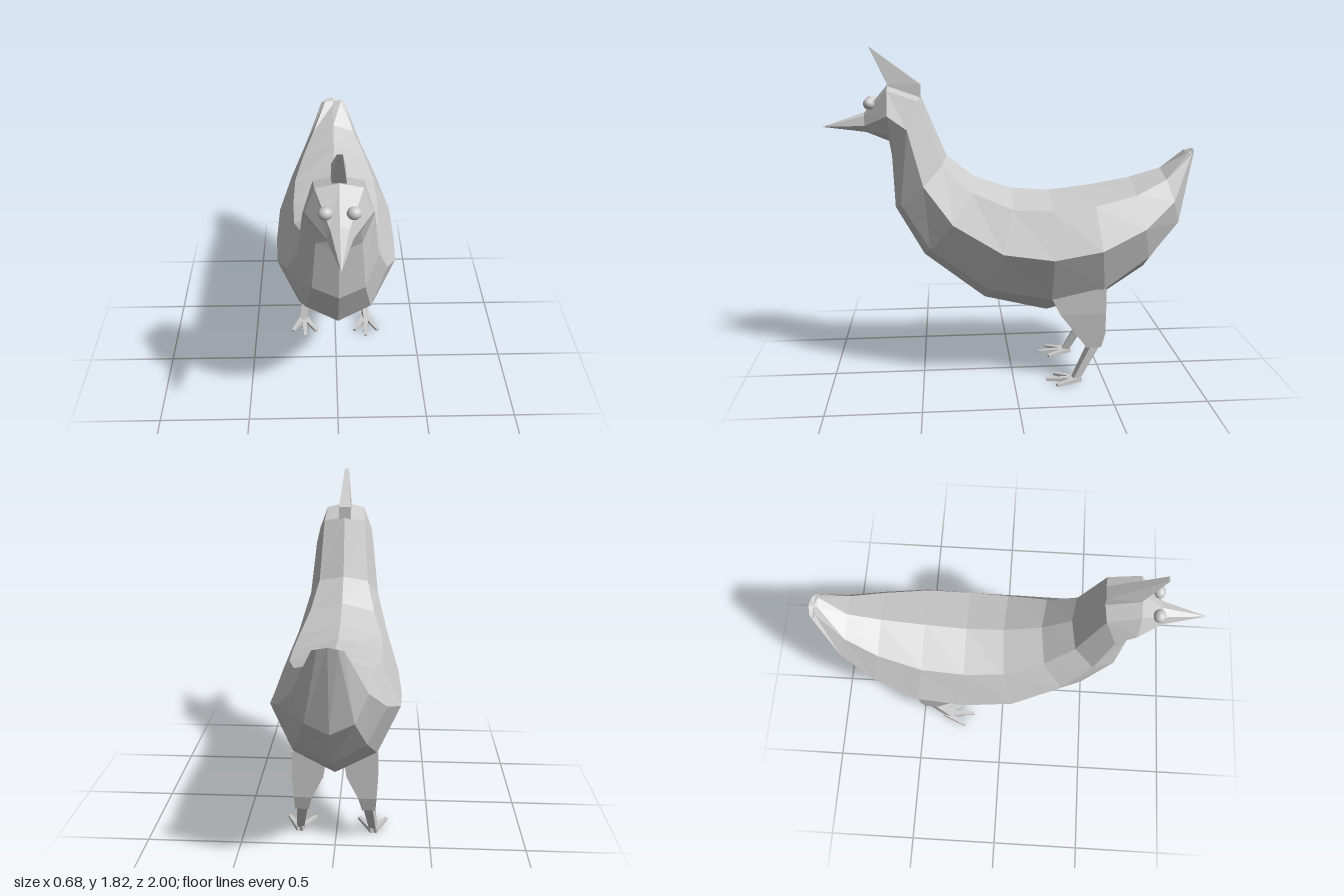
import * as THREE from 'three';

const grey = new THREE.MeshStandardMaterial({ color: 0xcccccc, flatShading: true });
const smoothGrey = new THREE.MeshStandardMaterial({ color: 0xcccccc });

// Skins a series of closed rings of [x, y, z] points and caps both ends.
// Each ring runs clockwise when seen from the first ring's outer side.
function loft(rings) {
  const pos = [];
  const tri = (a, b, c) => pos.push(...a, ...b, ...c);
  const n = rings[0].length;
  for (let i = 0; i < rings.length - 1; i++) {
    for (let j = 0; j < n; j++) {
      const k = (j + 1) % n;
      const a = rings[i][j], b = rings[i][k], c = rings[i + 1][k], d = rings[i + 1][j];
      tri(a, b, c);
      tri(a, c, d);
    }
  }
  const centre = ring => [0, 1, 2].map(k => ring.reduce((s, p) => s + p[k], 0) / n);
  const first = rings[0], last = rings[rings.length - 1];
  const c0 = centre(first), c1 = centre(last);
  for (let j = 0; j < n; j++) {
    const k = (j + 1) % n;
    tri(c0, first[k], first[j]);
    tri(c1, last[j], last[k]);
  }
  const g = new THREE.BufferGeometry();
  g.setAttribute('position', new THREE.Float32BufferAttribute(pos, 3));
  g.computeVertexNormals();
  return g;
}

function add(parent, name, geometry, material = grey) {
  const mesh = new THREE.Mesh(geometry, material);
  mesh.name = name;
  parent.add(mesh);
  return mesh;
}

// Eight-sided slice of the bird, leaning from zTop at the ridge to zLow at the keel.
// The heights are those of ridge, shoulder, flank, lower flank and keel.
const WIDTH = [0, 0.7, 1, 0.65, 0];
const LEAN = [0, 0.08, 0.44, 0.87, 1];
function slice(halfWidth, zTop, zLow, ...heights) {
  const half = heights.map((y, i) => [halfWidth * WIDTH[i], y, zTop + (zLow - zTop) * LEAN[i]]);
  return [...half, ...half.slice(1, -1).reverse().map(([x, y, z]) => [-x, y, z])];
}

// Horizontal rectangle; the inner front corner may sit lower
const rect = (x0, x1, z0, z1, y, yInner = y) =>
  [[x0, y, z0], [x1, y, z0], [x1, y, z1], [x0, yInner, z1]];

// Tapered four-sided bar between two points
function bar(from, to, r0, r1, flatten = 1) {
  const a = new THREE.Vector3(...from), b = new THREE.Vector3(...to);
  const g = new THREE.CylinderGeometry(r1, r0, a.distanceTo(b), 4);
  g.rotateY(Math.PI / 4);
  g.scale(1, 1, flatten);
  g.rotateX(Math.PI / 2);
  const frame = new THREE.Object3D();
  frame.position.copy(a).lerp(b, 0.5);
  frame.lookAt(b);
  frame.updateMatrix();
  return g.applyMatrix4(frame.matrix);
}

function makeLeg() {
  const leg = new THREE.Group();
  add(leg, 'thigh', loft([
    rect(0.04, 0.22, -0.5, -0.18, 0.54, 0.5),
    rect(0.06, 0.222, -0.5, -0.25, 0.4),
    rect(0.12, 0.215, -0.5, -0.34, 0.28),
    rect(0.14, 0.21, -0.48, -0.4, 0.2),
  ]));
  add(leg, 'shank', bar([0.175, 0.22, -0.45], [0.2, 0.015, -0.34], 0.036, 0.026));
  const foot = new THREE.Group();
  foot.name = 'foot';
  leg.add(foot);
  for (const [x, z] of [[0.12, -0.23], [0.19, -0.18], [0.27, -0.23]]) {
    add(foot, 'toe', bar([0.2, 0.013, -0.365], [x, 0.01, z], 0.026, 0.013, 0.7));
  }
  return leg;
}

export function createModel() {
  const model = new THREE.Group();
  model.name = 'hen';

  // Beak, head, neck, body and tail as one skin, front to back
  add(model, 'body', loft([
    slice(0, 1, 1, 1.41, 1.41, 1.41, 1.41, 1.41),
    slice(0.06, 0.775, 0.77, 1.485, 1.47, 1.42, 1.39, 1.38),
    slice(0.155, 0.65, 0.65, 1.63, 1.605, 1.48, 1.375, 1.33),
    slice(0.168, 0.48, 0.64, 1.57, 1.55, 1.41, 1.29, 1.25),
    slice(0.2, 0.35, 0.63, 1.25, 1.22, 1.12, 1.01, 0.97),
    slice(0.26, 0.2, 0.48, 1.13, 1.08, 0.925, 0.77, 0.7),
    slice(0.325, 0, 0.15, 1.065, 0.995, 0.78, 0.55, 0.44),
    slice(0.34, -0.2, -0.2, 1.05, 0.985, 0.745, 0.49, 0.355),
    slice(0.33, -0.42, -0.5, 1.075, 1.005, 0.785, 0.54, 0.43),
    slice(0.26, -0.65, -0.75, 1.115, 1.05, 0.88, 0.7, 0.6),
    slice(0.175, -0.82, -0.92, 1.165, 1.12, 1.01, 0.88, 0.83),
    slice(0.07, -0.96, -1, 1.24, 1.255, 1.25, 1.26, 1.27),
  ]));

  // Wedge-shaped comb on top of the head, rising to a thin tip
  add(model, 'comb', loft([
    rect(-0.012, 0.012, 0.735, 0.74, 1.82),
    rect(-0.033, 0.033, 0.48, 0.65, 1.63),
    rect(-0.035, 0.035, 0.48, 0.64, 1.56),
  ]));

  // Mirrored eyes and legs
  for (const [side, s] of [['left', 1], ['right', -1]]) {
    const eye = add(model, side + 'Eye', new THREE.SphereGeometry(0.03, 16, 10), smoothGrey);
    eye.scale.x = 1.12;
    eye.position.set(s * 0.063, 1.535, 0.745);
    const leg = makeLeg();
    leg.name = side + 'Leg';
    leg.scale.x = s;
    model.add(leg);
  }
  return model;
}
